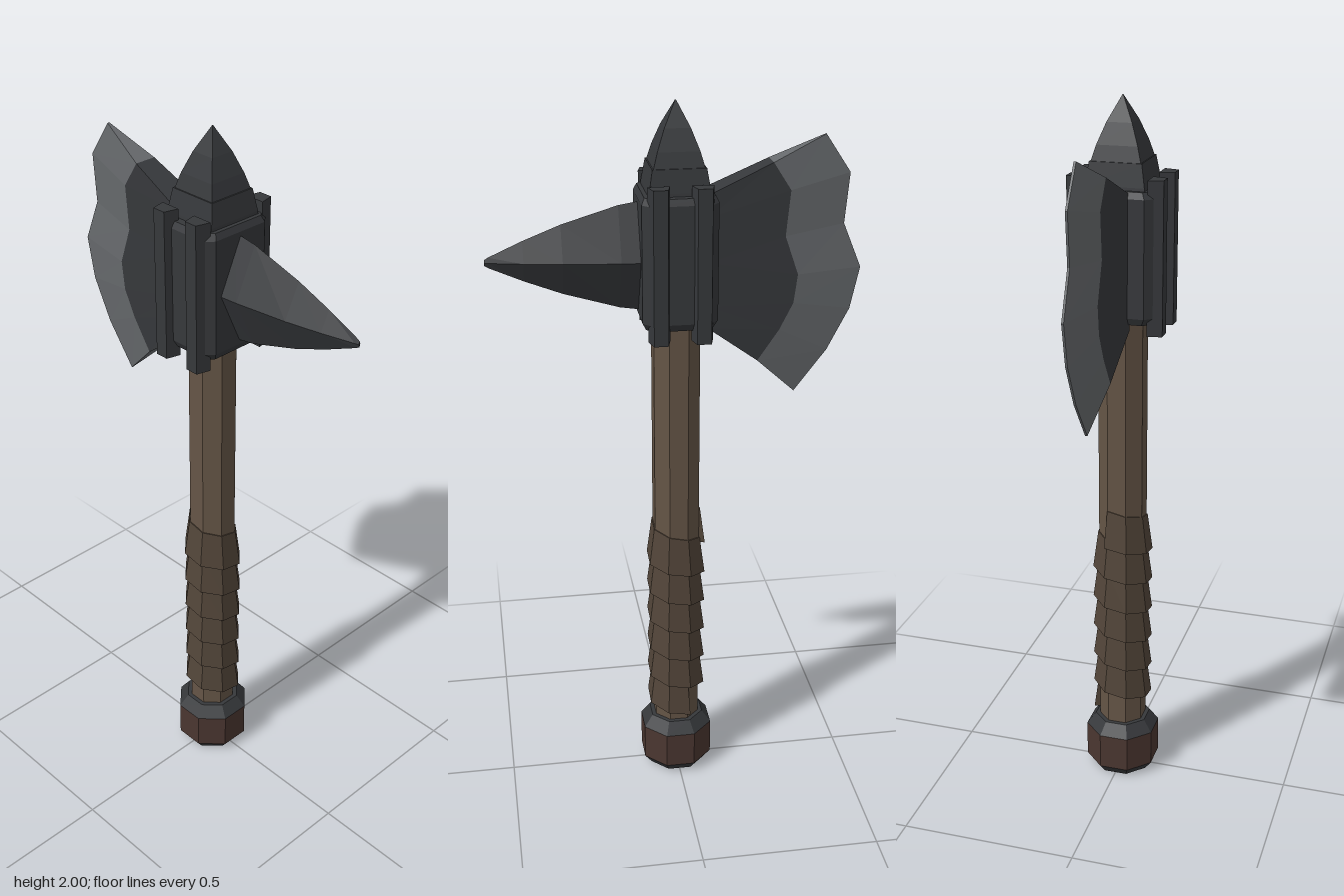
import * as THREE from 'three';

const paint = (color) => new THREE.MeshStandardMaterial({ color, flatShading: true });
const METAL = paint(0x36383b);
const STEEL = paint(0x66696c);
const WOOD = paint(0x655546);
const LEATHER = paint(0x524539);
const POMMEL = paint(0x4a3630);

// Closed skin through equal-sized rings, each counter-clockwise seen from the last ring's end
function loft(name, rings, material) {
  const pos = [];
  const n = rings[0].length;
  const tri = (a, b, c) => pos.push(...a, ...b, ...c);
  for (let i = 0; i < rings.length - 1; i++) {
    const A = rings[i], B = rings[i + 1];
    for (let j = 0; j < n; j++) {
      const k = (j + 1) % n;
      tri(A[j], A[k], B[k]);
      tri(A[j], B[k], B[j]);
    }
  }
  const first = rings[0], last = rings[rings.length - 1];
  for (let j = 1; j < n - 1; j++) {
    tri(first[0], first[j + 1], first[j]);
    tri(last[0], last[j], last[j + 1]);
  }
  const geo = new THREE.BufferGeometry();
  geo.setAttribute('position', new THREE.Float32BufferAttribute(pos, 3));
  geo.computeVertexNormals();
  const mesh = new THREE.Mesh(geo, material);
  mesh.name = name;
  return mesh;
}

// Regular outline in x, z with flats facing the axes, flat distance 1
function polygon(n) {
  const r = 1 / Math.cos(Math.PI / n);
  return Array.from({ length: n }, (_, i) => {
    const a = ((i + 0.5) / n) * Math.PI * 2;
    return [r * Math.cos(a), -r * Math.sin(a)];
  });
}

// Outline stacked upwards through [y, scale] levels
const stack = (name, outline, levels, material) =>
  loft(name, levels.map(([y, s]) => outline.map(([x, z]) => [x * s, y, z * s])), material);

export function createModel() {
  const model = new THREE.Group();
  model.name = 'battleAxe';
  const oct = polygon(8), square = polygon(4);

  // Shaft and pommel
  model.add(stack('handle', oct, [[0.12, 0.063], [1.46, 0.063]], WOOD));
  model.add(stack('pommelBase', oct, [[0, 0.08], [0.028, 0.1]], METAL));
  model.add(stack('pommel', oct, [[0.028, 0.1], [0.135, 0.1]], POMMEL));
  model.add(stack('pommelCap', oct, [[0.135, 0.1], [0.17, 0.075]], METAL));

  // Grip: a flared strip wound down the handle
  const wrap = [];
  const pitch = 0.095, steps = 47;
  for (let i = 0; i <= steps; i++) {
    const a = Math.PI + (i - 0.5) * Math.PI / 4;
    const y = 0.75 - (pitch * i) / 8;
    const at = (r, h) => [r * Math.cos(a), y + h, -r * Math.sin(a)];
    wrap.push([at(0.071, 0.11), at(0.086, 0), at(0.06, 0), at(0.06, 0.11)]);
  }
  model.add(loft('gripWrap', wrap, LEATHER));

  // Head block with chamfered corners
  const block = [[0.1, 0.085], [0.1, -0.085], [0.078, -0.11], [-0.078, -0.11],
    [-0.1, -0.085], [-0.1, 0.085], [-0.078, 0.11], [0.078, 0.11]];
  model.add(stack('headBlock', block, [[1.42, 0.9], [1.44, 1], [1.755, 1], [1.772, 0.92]], METAL));

  // Four tapered bars on the front and back of the block
  for (const sx of [-1, 1]) {
    for (const sz of [-1, 1]) {
      const bar = [[0.028, 0.09], [0.086, 0.09], [0.076, 0.13], [0.038, 0.13]]
        .map(([x, z]) => [x * sx, z * sz]);
      if (sx * sz > 0) bar.reverse();
      bar.reverse();
      // keep the outline counter-clockwise seen from above
      const area = bar.reduce((s, [x, z], i) => {
        const [u, v] = bar[(i + 1) % 4];
        return s + x * v - u * z;
      }, 0);
      if (area > 0) bar.reverse();
      model.add(stack('headBar', bar, [[1.39, 1], [1.802, 1]], METAL));
    }
  }

  // Collar and top spike
  model.add(stack('collar', square, [[1.76, 0.082], [1.78, 0.08], [1.84, 0.07]], METAL));
  model.add(stack('topSpike', square, [[1.838, 0.067], [1.88, 0.055], [1.935, 0.034], [2, 0.001]], METAL));

  // Side spike: diamond sections [x, half height, half depth]
  const spike = [[0.08, 0.149, 0.068], [0.15, 0.138, 0.063], [0.3, 0.093, 0.045],
    [0.4, 0.054, 0.026], [0.49, 0.014, 0.005], [0.5, 0.008, 0.003]];
  model.add(loft('sideSpike', spike.map(([x, h, d]) =>
    [[x, 1.598, d], [x, 1.598 - h, 0], [x, 1.598, -d], [x, 1.598 + h, 0]]), METAL));

  // Blade: matching points on the bevel line and cutting edge, top to bottom
  const bevel = [[-0.251, 1.839], [-0.299, 1.765], [-0.288, 1.643], [-0.325, 1.537],
    [-0.315, 1.458], [-0.278, 1.384], [-0.22, 1.299]];
  const edge = [[-0.394, 1.902], [-0.463, 1.8], [-0.452, 1.664], [-0.503, 1.542],
    [-0.479, 1.426], [-0.42, 1.31], [-0.331, 1.193]];
  const root = bevel.map((_, i) => [-0.08, 1.763 - (i / 6) * 0.36]);
  const slab = (a, za, b, zb) => a.map((p, i) =>
    [[...p, za], [...b[i], zb], [...b[i], -zb], [...p, -za]]);
  model.add(loft('bladeBody', slab(root, 0.042, bevel, 0.031), METAL));
  model.add(loft('bladeEdge', slab(bevel, 0.031, edge, 0.003), STEEL));

  return model;
}
